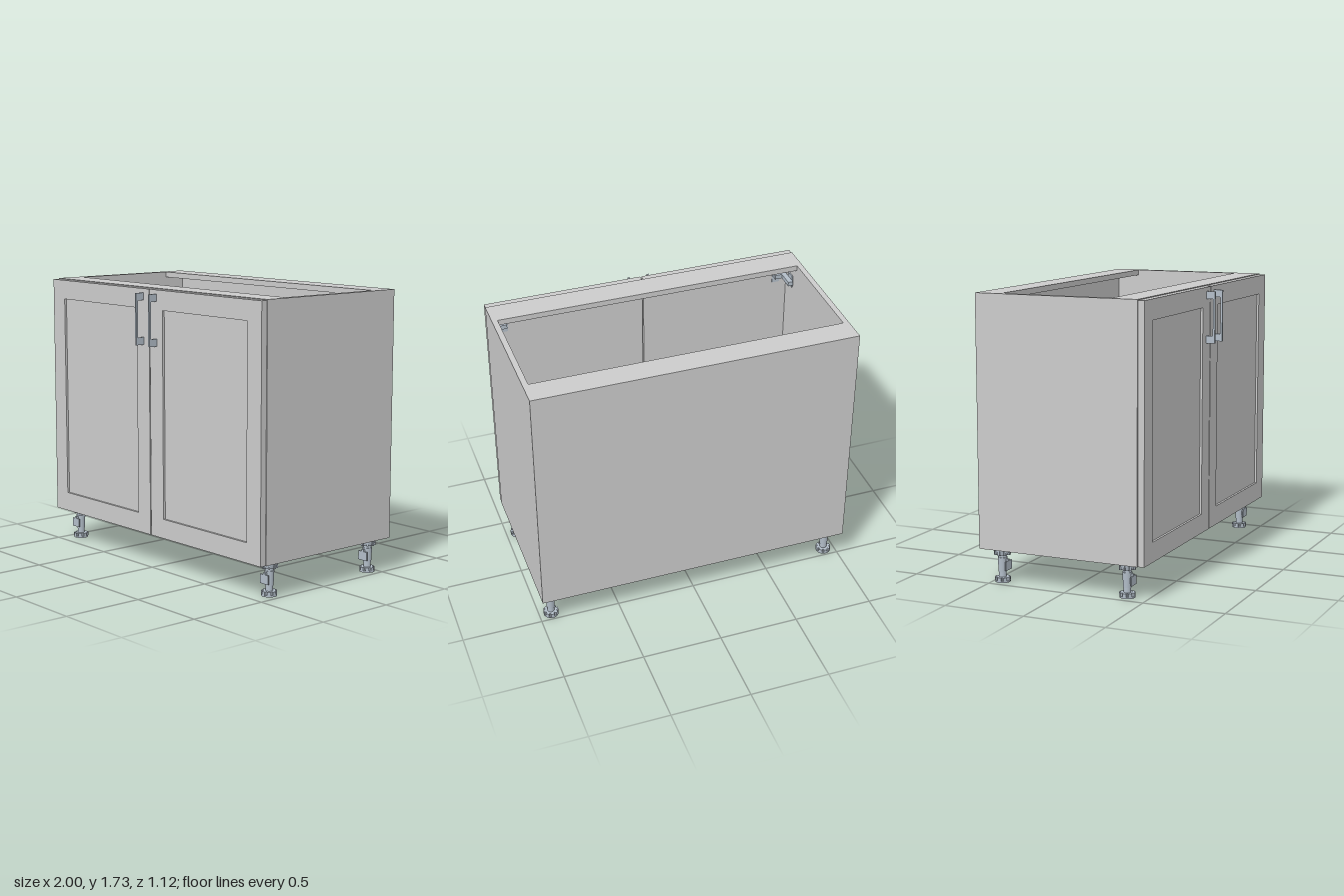
import * as THREE from 'three';

const grey = new THREE.MeshStandardMaterial({ color: 0xcccccc });
const metal = new THREE.MeshStandardMaterial({ color: 0xb3bec9 });

// Axis-aligned box given by its limits on x, y and z
function box(name, x0, x1, y0, y1, z0, z1, material = grey) {
  const mesh = new THREE.Mesh(new THREE.BoxGeometry(x1 - x0, y1 - y0, z1 - z0), material);
  mesh.position.set((x0 + x1) / 2, (y0 + y1) / 2, (z0 + z1) / 2);
  mesh.name = name;
  return mesh;
}

function cylinder(name, radiusTop, radiusBottom, y0, y1, sides = 24) {
  const mesh = new THREE.Mesh(new THREE.CylinderGeometry(radiusTop, radiusBottom, y1 - y0, sides), metal);
  mesh.position.y = (y0 + y1) / 2;
  mesh.name = name;
  return mesh;
}

function rectangle(path, x0, x1, y0, y1) {
  path.moveTo(x0, y0);
  path.lineTo(x1, y0);
  path.lineTo(x1, y1);
  path.lineTo(x0, y1);
  path.closePath();
  return path;
}

const BOTTOM = 0.205, TOP = 1.725, BACK = -0.56, FRONT = 0.465, DOOR = 0.507, T = 0.035;

// Open-topped carcass with two top rails and a shelf
function createCarcass() {
  const g = new THREE.Group();
  g.name = 'carcass';
  const inner = 1 - T;
  g.add(
    box('leftSide', inner, 1, BOTTOM, TOP, BACK, FRONT),
    box('rightSide', -1, -inner, BOTTOM, TOP, BACK, FRONT),
    box('bottomPanel', -inner, inner, BOTTOM, BOTTOM + T, BACK, FRONT),
    box('backPanel', -inner, inner, BOTTOM + T, TOP - T, BACK, BACK + 0.012),
    box('frontRail', -inner, inner, TOP - T, TOP, 0.3, FRONT),
    box('backRail', -inner, inner, TOP - T, TOP, BACK, -0.4),
    box('shelf', -inner, inner, 0.95, 0.95 + T, BACK + 0.012, 0.44)
  );
  return g;
}

// Framed door with a recessed centre panel, handle and two hinges; side is +1 or -1
function createDoor(side) {
  const g = new THREE.Group();
  g.name = side > 0 ? 'leftDoor' : 'rightDoor';
  const xs = [side * 0.004, side * 0.998].sort((a, b) => a - b);
  const [x0, x1] = xs, y0 = BOTTOM + 0.002, y1 = TOP - 0.005, inset = 0.12;

  const shape = rectangle(new THREE.Shape(), x0, x1, y0, y1);
  shape.holes.push(rectangle(new THREE.Path(), x0 + inset, x1 - inset, y0 + inset, y1 - inset));
  const depth = DOOR - FRONT - 0.003;
  const frame = new THREE.Mesh(new THREE.ExtrudeGeometry(shape, { depth, bevelEnabled: false }), grey);
  frame.position.z = DOOR - depth;
  frame.name = 'doorFrame';
  g.add(frame, box('doorPanel', x0 + inset, x1 - inset, y0 + inset, y1 - inset, DOOR - depth, DOOR - 0.014));

  // Bracket handle
  const bracket = rectangle(new THREE.Shape(), DOOR, 0.563, 1.38, 1.695);
  bracket.holes.push(rectangle(new THREE.Path(), DOOR - 0.0001, 0.55, 1.425, 1.65));
  const handle = new THREE.Group();
  handle.name = 'handle';
  const hx = side * 0.063, w = 0.006;
  handle.add(
    box('handleGrip', hx - w, hx + w, 1.38, 1.695, 0.55, 0.563, metal),
    box('handleLowerFoot', hx - w, hx + w, 1.38, 1.425, DOOR, 0.55, metal),
    box('handleUpperFoot', hx - w, hx + w, 1.65, 1.695, DOOR, 0.55, metal)
  );
  g.add(handle);

  // Hinges: mounting plate on the side panel, arm and cup on the door
  for (const y of [0.36, 1.58]) {
    const hinge = new THREE.Group();
    hinge.name = 'hinge';
    const plate = box('hingePlate', 0.957, 0.965, -0.04, 0.04, 0.35, 0.41, metal);
    const arm = box('hingeArm', 0.925, 0.957, -0.014, 0.014, 0.33, 0.455, metal);
    const link = box('hingeLink', 0.88, 0.93, -0.014, 0.014, 0.435, 0.46, metal);
    const flange = box('hingeFlange', 0.87, 0.92, -0.05, 0.05, 0.462, 0.468, metal);
    for (const part of [plate, arm, link, flange]) {
      part.position.x *= side;
      hinge.add(part);
    }
    hinge.position.y = y;
    g.add(hinge);
  }
  return g;
}

// Adjustable leg: notched foot, stem, clip collar and ribbed mounting flange
function createLeg(x, z) {
  const g = new THREE.Group();
  g.name = 'leg';
  g.add(
    cylinder('footPad', 0.046, 0.046, 0, 0.01),
    cylinder('footCore', 0.036, 0.036, 0.01, 0.03),
    cylinder('lowerStem', 0.022, 0.022, 0.03, 0.075),
    cylinder('collar', 0.029, 0.025, 0.06, 0.15),
    cylinder('upperStem', 0.025, 0.025, 0.15, 0.17),
    cylinder('mountingFlange', 0.049, 0.04, 0.168, BOTTOM)
  );
  for (let i = 0; i < 8; i++) {
    const a = (i / 8) * Math.PI * 2;
    const tooth = box('footTooth', -0.011, 0.011, 0.008, 0.03, 0.028, 0.046, metal);
    const rib = box('flangeRib', -0.006, 0.006, 0.166, BOTTOM, 0.034, 0.05, metal);
    for (const part of [tooth, rib]) {
      part.position.applyAxisAngle(new THREE.Vector3(0, 1, 0), a);
      part.rotation.y = a;
      g.add(part);
    }
  }
  // Plinth clip facing forward
  g.add(
    box('clipNeck', -0.014, 0.014, 0.085, 0.12, 0.02, 0.036, metal),
    box('clipPlate', -0.035, 0.035, 0.075, 0.13, 0.034, 0.042, metal),
    box('clipTab', -0.008, 0.008, 0.128, 0.142, 0.026, 0.042, metal)
  );
  g.position.set(x, 0, z);
  return g;
}

export function createModel() {
  const model = new THREE.Group();
  model.name = 'baseCabinet';
  model.add(createCarcass());
  for (const side of [1, -1]) {
    model.add(createDoor(side));
    for (const z of [0.37, -0.445]) model.add(createLeg(side * 0.925, z));
  }
  return model;
}
